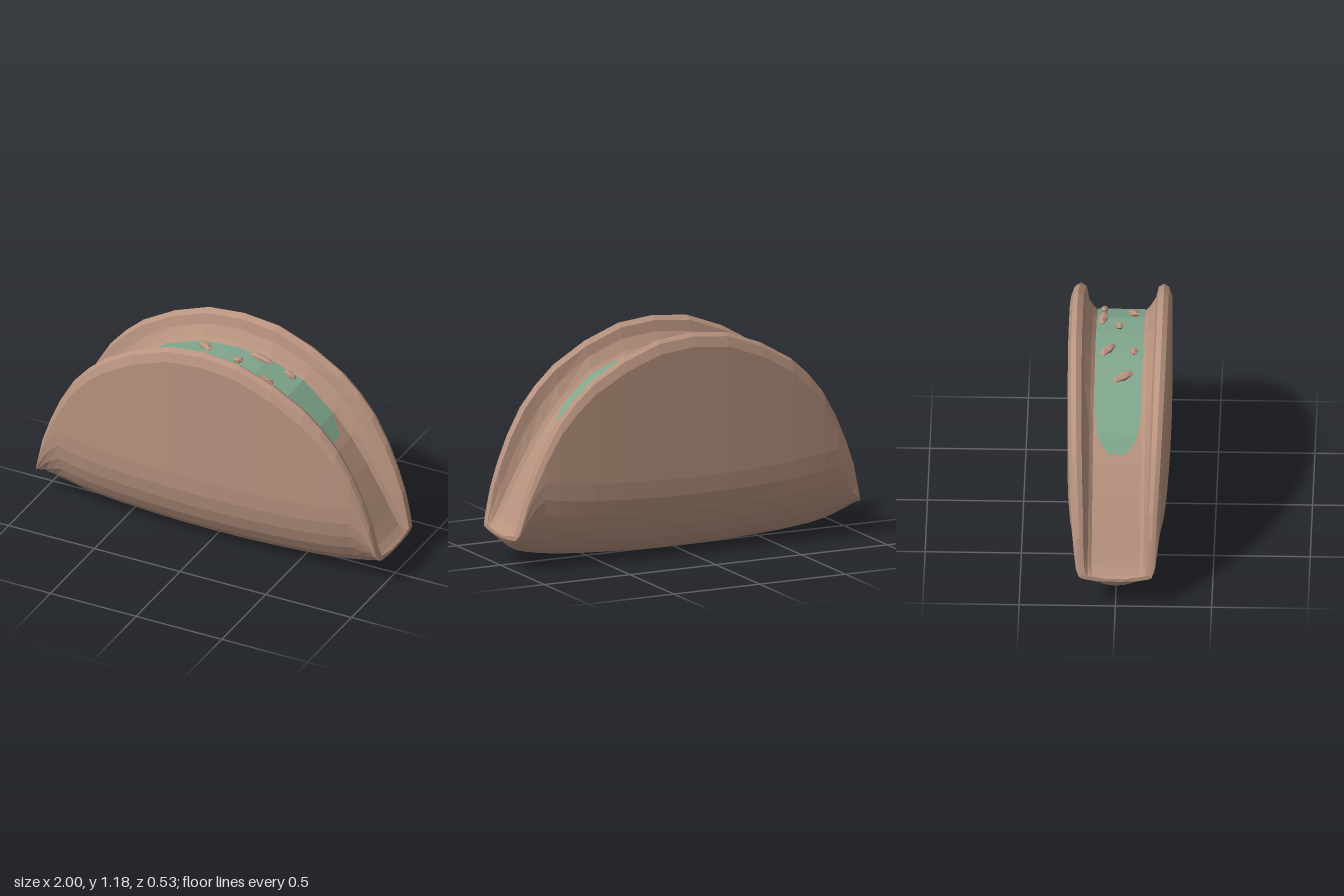
import * as THREE from 'three';

// Half-length stations: x, rim height, underside height, filling height, half width, wall thickness
const HALF = [
  [0, 1.185, 0.003, 1.03, 0.265, 0.085],
  [0.2, 1.165, 0.006, 1.01, 0.265, 0.085],
  [0.4, 1.09, 0.014, 0.935, 0.262, 0.085],
  [0.58, 0.985, 0.024, 0.79, 0.257, 0.083],
  [0.68, 0.895, 0.033, 0.67, 0.252, 0.08],
  [0.77, 0.79, 0.043, 0.535, 0.246, 0.078],
  [0.85, 0.65, 0.058, 0.4, 0.238, 0.074],
  [0.91, 0.515, 0.075, 0.29, 0.228, 0.068],
  [0.955, 0.385, 0.1, 0.215, 0.218, 0.058],
  [0.985, 0.25, 0.13, 0.18, 0.206, 0.05],
  [1, 0.19, 0.152, 0.168, 0.19, 0.04],
];
const STATIONS = [...HALF.slice(1).reverse().map(([x, ...r]) => [-x, ...r]), ...HALF];

function fillHeight(x) {
  const a = Math.abs(x);
  let i = 1;
  while (i < HALF.length - 1 && HALF[i][0] < a) i++;
  const p = HALF[i - 1], q = HALF[i];
  return THREE.MathUtils.lerp(p[3], q[3], (a - p[0]) / (q[0] - p[0]));
}

// Closed cross-section: rounded underside, wall, rim, inner wall, filling
function section([x, top, bot, fill, w, t]) {
  const half = [];
  const H = Math.min(0.42, (top - bot) * 0.75);
  for (let k = 1; k <= 7; k++) {
    const a = (k / 7) * Math.PI / 2;
    half.push([w * Math.sin(a), bot + H * (1 - Math.cos(a))]);
  }
  const rise = top - (bot + H), lip = Math.min(0.07, rise * 0.6), depth = Math.max(0, top - fill);
  half.push([w, top - lip]);
  half.push([w - t * 0.2, top - lip * 0.25]);
  half.push([w - t * 0.5, top]);
  half.push([w - t * 0.85, top - lip * 0.3]);
  half.push([w - t, top - depth * 0.5]);
  half.push([0.145, fill + depth * 0.14]);
  half.push([0.125, fill]);
  const mirrored = half.slice().reverse().map(([z, y]) => [-z, y]);
  return [[0, bot], ...half, [0, fill], ...mirrored].map(([z, y]) => [x, y, z]);
}

// Faceted skin over a row of equal-length point lists
function loft(rows, closed) {
  const pos = [], n = rows[0].length;
  for (let i = 0; i < rows.length - 1; i++) {
    for (let j = 0; j < (closed ? n : n - 1); j++) {
      const k = (j + 1) % n;
      const a = rows[i][j], b = rows[i + 1][j], c = rows[i + 1][k], d = rows[i][k];
      pos.push(...a, ...b, ...c, ...a, ...c, ...d);
    }
  }
  if (closed) {
    const first = rows[0], last = rows[rows.length - 1];
    for (let j = 0; j < n; j++) {
      const k = (j + 1) % n;
      pos.push(first[0][0], 0.16, 0, ...first[j], ...first[k]);
      pos.push(last[0][0], 0.16, 0, ...last[k], ...last[j]);
    }
  }
  const g = new THREE.BufferGeometry();
  g.setAttribute('position', new THREE.Float32BufferAttribute(pos, 3));
  g.computeVertexNormals();
  return g;
}

export function createModel() {
  const model = new THREE.Group();
  model.name = 'foldedShell';
  const brown = new THREE.MeshStandardMaterial({ color: 0xb8937f });
  brown.name = 'toasted brown';
  const green = new THREE.MeshStandardMaterial({ color: 0x7fa68c });
  green.name = 'leaf green';

  const add = (name, geometry, material) => {
    const mesh = new THREE.Mesh(geometry, material);
    mesh.name = name;
    model.add(mesh);
    return mesh;
  };

  // Shell and filling as one skin
  add('shell', loft(STATIONS.map(section), true), brown);

  // Green topping following the arch, with rounded ends
  const xs = [0, 0.1, 0.2, 0.3, 0.4, 0.5, 0.58, 0.61, 0.635, 0.65];
  const allX = [...xs.slice(1).reverse().map((x) => -x), ...xs];
  const topping = allX.map((x) => {
    const w = 0.123 * Math.sqrt(Math.max(0.15, 1 - Math.pow(Math.abs(x) / 0.65, 12)));
    return [1, 0.5, 0, -0.5, -1].map((s) => [x, fillHeight(x) + 0.006, s * w]);
  });
  add('topping', loft(topping, false), green);

  // Crumbs: x, z, length, width, heading
  const crumbs = [
    [-0.32, 0.025, 0.065, 0.026, -1.05],
    [-0.14, -0.06, 0.065, 0.026, -0.6],
    [-0.15, 0.075, 0.03, 0.022, 0.2],
    [0.08, -0.005, 0.03, 0.024, 0.5],
    [0.17, -0.09, 0.08, 0.024, -0.12],
    [0.34, -0.088, 0.04, 0.02, -0.1],
    [0.26, 0.063, 0.065, 0.024, 0.4],
  ];
  crumbs.forEach(([x, z, length, width, heading], i) => {
    const m = add('crumb' + (i + 1), new THREE.IcosahedronGeometry(1, 0), brown);
    m.scale.set(length, 0.018, width);
    m.position.set(x, fillHeight(x) + 0.018, z);
    const slope = Math.atan2(fillHeight(x + 0.03) - fillHeight(x - 0.03), 0.06);
    m.rotation.set(0, heading, slope, 'ZYX');
  });

  return model;
}
